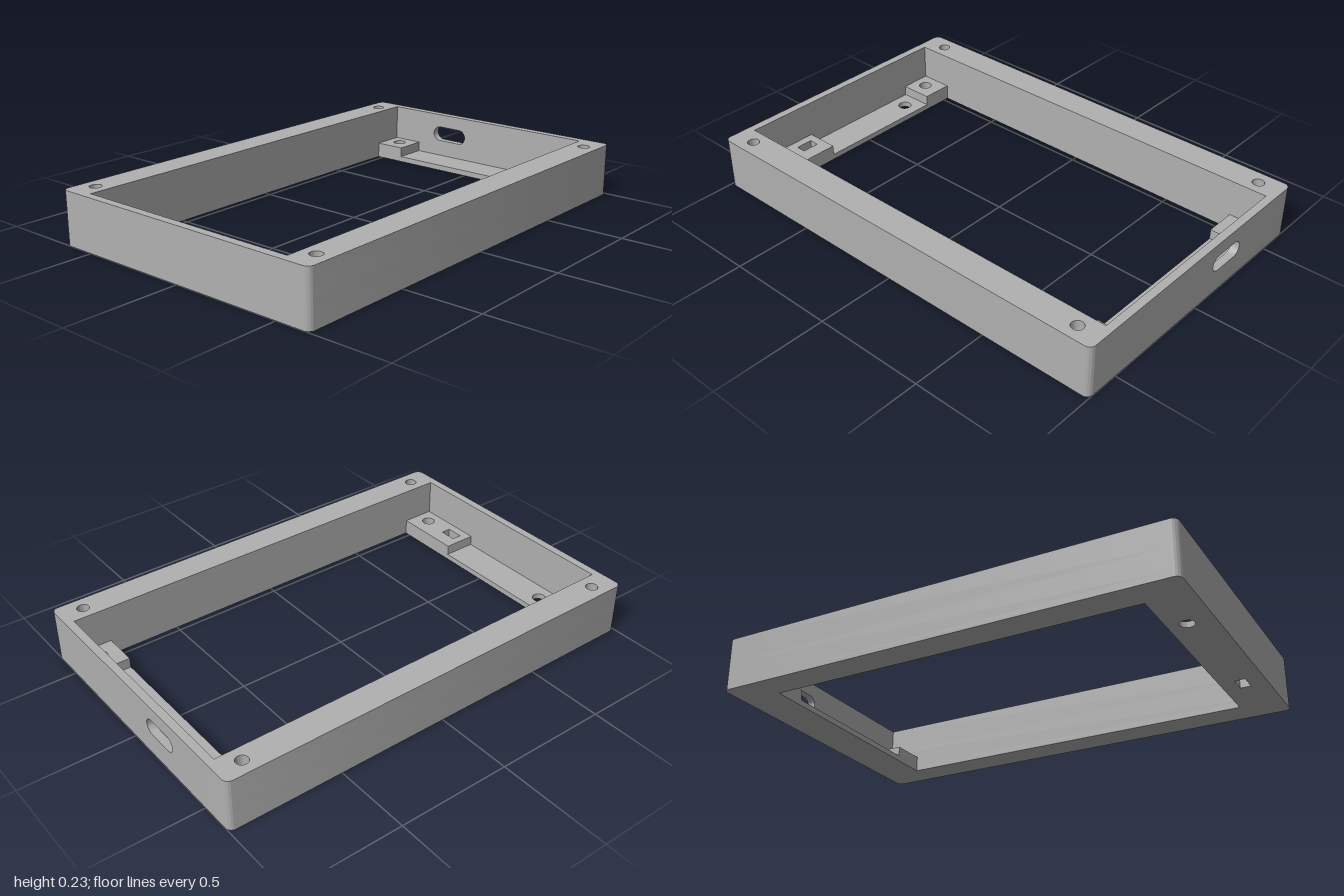
import * as THREE from 'three';
import { toCreasedNormals } from 'three/addons/utils/BufferGeometryUtils.js';

const W = 1, D = 0.655, H = 0.232;         // outer half width, half depth, height
const IX = 0.964, IZ = 0.525;              // inside of the walls
const SHELF_X = 0.815, FLOOR = 0.025;      // side shelves
const BLOCK_TOP = 0.07, SCREW_BOTTOM = 0.12, R = 0.028;

const rect = (x0, x1, z0, z1, Type = THREE.Path) => new Type([
  new THREE.Vector2(x0, z0), new THREE.Vector2(x1, z0),
  new THREE.Vector2(x1, z1), new THREE.Vector2(x0, z1),
]);
const circle = (x, z, r) => new THREE.Path().absarc(x, z, r, 0, Math.PI * 2, true);

// Rounded outer outline; with gap = true it is open towards +x, leaving room for the slotted wall
function outline(gap) {
  const s = new THREE.Shape(), q = Math.PI / 2;
  s.absarc(W - R, D - R, R, 0, q);
  s.absarc(-W + R, D - R, R, q, 2 * q);
  s.absarc(-W + R, -D + R, R, 2 * q, 3 * q);
  s.absarc(W - R, -D + R, R, 3 * q, 4 * q);
  if (gap) {
    s.lineTo(W, -IZ);
    s.lineTo(-IX, -IZ);
    s.lineTo(-IX, IZ);
    s.lineTo(W, IZ);
  }
  s.closePath();
  return s;
}

export function createModel() {
  const group = new THREE.Group();
  const grey = new THREE.MeshStandardMaterial({ color: 0xb0b0b0 });
  grey.name = 'grey';

  const add = (name, geometry) => {
    const mesh = new THREE.Mesh(toCreasedNormals(geometry, 0.6), grey);
    mesh.name = name;
    group.add(mesh);
  };
  const extrude = (shape, depth) =>
    new THREE.ExtrudeGeometry(shape, { depth, bevelEnabled: false, curveSegments: 12 });
  // Plan shape (x, z) raised from y0 to y1
  const slab = (name, shape, y0, y1, holes = []) => {
    shape.holes.push(...holes);
    add(name, extrude(shape, y1 - y0).rotateX(Math.PI / 2).translate(0, y1, 0));
  };

  // Openings cut through the left-hand shelf
  const windowHole = () => rect(-0.926, -0.881, 0.258, 0.335);

  // Base with the large opening and both shelves
  slab('base', outline(false), 0, FLOOR, [
    rect(-SHELF_X, SHELF_X, -IZ, IZ), circle(-0.892, -0.306, 0.03), windowHole(),
  ]);

  // Walls: solid below, blind screw holes above
  const rimHoles = [];
  for (const x of [-0.89, 0.89]) for (const z of [-0.589, 0.589]) rimHoles.push(circle(x, z, 0.026));
  slab('lowerWalls', outline(true), FLOOR, SCREW_BOTTOM);
  slab('upperWalls', outline(true), SCREW_BOTTOM, H, rimHoles);

  // Left wall with the rounded slot
  const wall = rect(-IZ, IZ, FLOOR, H, THREE.Shape);
  const slot = new THREE.Path(), sr = 0.035, sy = 0.135;
  slot.absarc(0.255, sy, sr, -Math.PI / 2, Math.PI / 2);
  slot.absarc(0.141, sy, sr, Math.PI / 2, Math.PI * 1.5);
  slot.closePath();
  wall.holes.push(slot);
  add('slottedWall', extrude(wall, W - IX).rotateY(Math.PI / 2).translate(IX, 0, 0));

  // Corner blocks with screw holes: side, z range
  for (const [side, z0, z1] of [
    [-1, -IZ, -0.382], [1, -IZ, -0.382], [1, 0.367, IZ], [-1, 0.22, IZ],
  ]) {
    const [x0, x1] = side > 0 ? [SHELF_X, IX] : [-IX, -SHELF_X];
    const holes = [circle(side * 0.899, z0 < 0 ? -0.457 : 0.457, 0.029)];
    if (z0 === 0.22) holes.push(windowHole());
    slab('cornerBlock', rect(x0, x1, z0, z1, THREE.Shape), FLOOR, BLOCK_TOP, holes);
  }
  return group;
}
